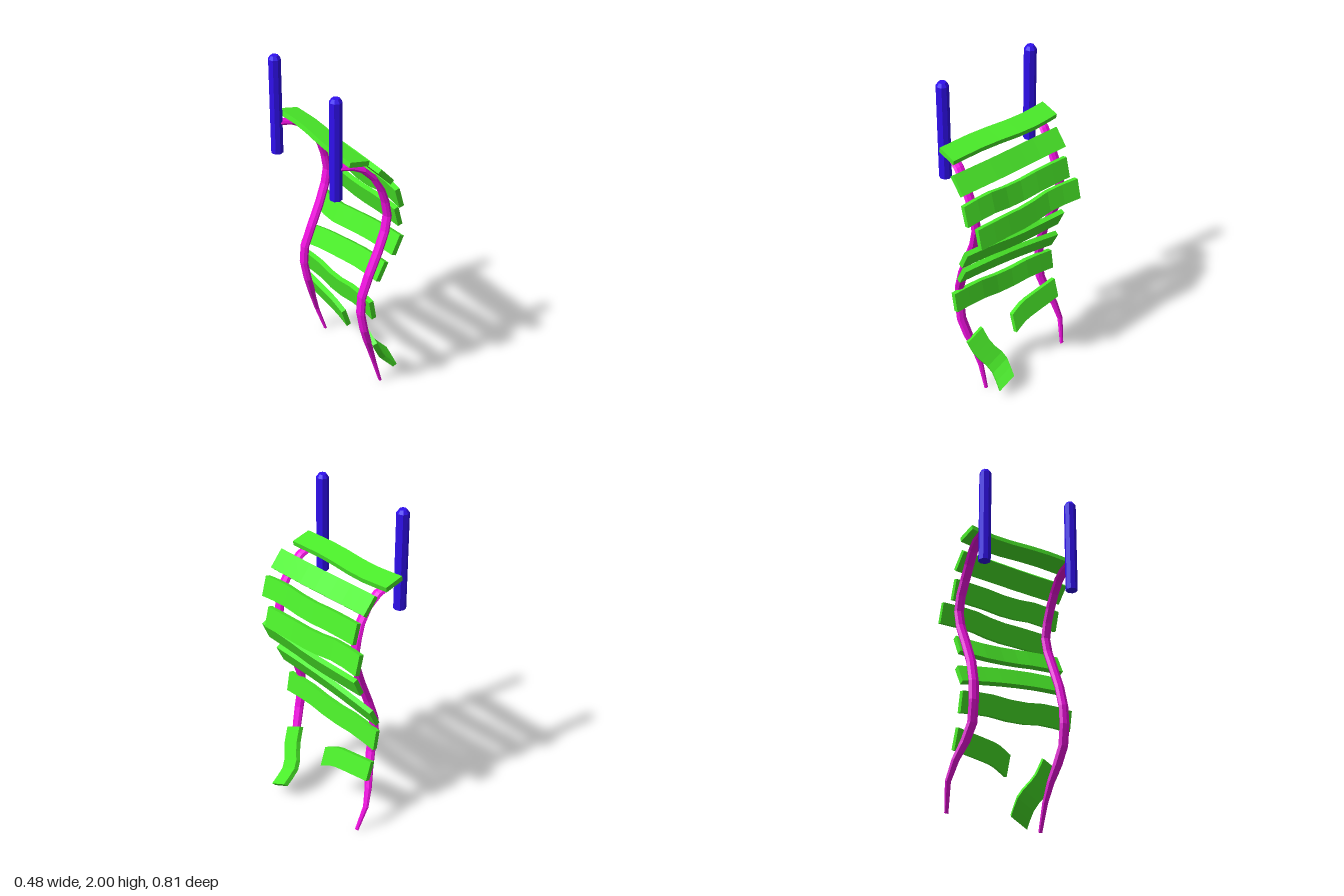
import * as THREE from 'three';

const mat = (color) => new THREE.MeshStandardMaterial({ color, flatShading: true });
const V = (p) => new THREE.Vector3(...p);

// Sweeps a ring (unit offsets along width and normal) along a curve and caps both ends.
function loft(points, widthDir, ring, steps, sizeAt) {
  const curve = new THREE.CatmullRomCurve3(points.map(V));
  const w = V(widthDir).normalize();
  const n = ring.length, pos = [], idx = [];
  for (let s = 0; s <= steps; s++) {
    const u = s / steps, c = curve.getPoint(u);
    const normal = curve.getTangent(u).cross(w).normalize();
    const [hw, hn] = sizeAt(u);
    for (const [a, b] of ring) {
      const p = c.clone().addScaledVector(w, a * hw).addScaledVector(normal, b * hn);
      pos.push(p.x, p.y, p.z);
    }
  }
  for (let s = 0; s < steps; s++) {
    for (let i = 0; i < n; i++) {
      const a = s * n + i, b = s * n + (i + 1) % n;
      idx.push(a, b, b + n, a, b + n, a + n);
    }
  }
  const last = steps * n;
  for (let i = 1; i < n - 1; i++) idx.push(0, i + 1, i, last, last + i, last + i + 1);
  const geo = new THREE.BufferGeometry();
  geo.setAttribute('position', new THREE.Float32BufferAttribute(pos, 3));
  geo.setIndex(idx);
  const flat = geo.toNonIndexed();
  flat.computeVertexNormals();
  return flat;
}

const SQUARE = [[1, 1], [-1, 1], [-1, -1], [1, -1]];
const OCTAGON = Array.from({ length: 8 }, (_, i) => {
  const a = (i / 8) * Math.PI * 2;
  return [Math.cos(a), Math.sin(a)];
});

export function createModel() {
  const model = new THREE.Group();
  model.name = 'brokenRopeBridge';
  const wood = mat(0x4bee2a), rope = mat(0xf010e0), blue = mat(0x3010f0);
  const add = (name, geo, material) => {
    const mesh = new THREE.Mesh(geo, material);
    mesh.name = name;
    model.add(mesh);
    return mesh;
  };

  // Posts with a bevelled top
  const postProfile = [[0, 1.4], [0.036, 1.4], [0.036, 1.98], [0.022, 2], [0, 2]]
    .map((p) => new THREE.Vector2(...p));
  for (const [name, z] of [['frontPost', 0.272], ['backPost', -0.345]]) {
    add(name, new THREE.LatheGeometry(postProfile, 8), blue).position.set(-0.212, 0, z);
  }

  // Hanging ropes: shared side profile, own drift in z, thinner at the loose end
  const ropeXY = [[-0.2, 1.59], [-0.11, 1.57], [-0.03, 1.52], [0.04, 1.42], [0.08, 1.32], [0.1, 1.2],
    [0.07, 1.08], [0, 0.91], [-0.06, 0.74], [-0.07, 0.6], [-0.04, 0.45], [0.005, 0.33], [0.05, 0.2], [0.108, 0.005]];
  const ropeZ = {
    frontRope: [0.275, 0.285, 0.3, 0.31, 0.31, 0.31, 0.315, 0.318, 0.31, 0.31, 0.312, 0.285, 0.265, 0.262],
    backRope: [-0.343, -0.335, -0.315, -0.305, -0.31, -0.31, -0.305, -0.295, -0.307, -0.31, -0.307, -0.345, -0.382, -0.358],
  };
  for (const [name, zs] of Object.entries(ropeZ)) {
    const pts = ropeXY.map(([x, y], i) => [x, y, zs[i]]);
    add(name, loft(pts, [0, 0, 1], OCTAGON, 16, (u) => {
      const k = Math.min(1, 0.4 + (1 - u) * 3);
      return [0.032 * k, (0.016 + 0.007 * Math.min(1, u * 2)) * k];
    }), rope);
  }

  // Warped planks: centre line from front to back, then the direction across the plank
  const planks = [
    [[[-0.108, 1.612, 0.34], [-0.112, 1.612, 0.1], [-0.09, 1.609, -0.2], [-0.105, 1.612, -0.4]], [-0.13, 0.028, 0]],
    [[[0.034, 1.512, 0.385], [0.036, 1.51, 0.1], [0.03, 1.508, -0.15], [0.032, 1.51, -0.36]], [-0.085, 0.095, 0]],
    [[[0.115, 1.362, 0.4], [0.117, 1.375, 0.24], [0.108, 1.35, 0.05], [0.112, 1.362, -0.14], [0.115, 1.363, -0.34]], [-0.035, 0.125, 0]],
    [[[0.154, 1.2, 0.34], [0.15, 1.198, 0.15], [0.142, 1.19, -0.03], [0.131, 1.204, -0.21], [0.15, 1.207, -0.4]], [-0.032, 0.125, 0]],
    [[[0.105, 1.065, 0.41], [0.1, 1.045, 0.2], [0.095, 1.02, 0.04], [0.075, 0.993, -0.18], [0.082, 0.997, -0.33]], [0.055, 0.12, 0]],
    [[[0.032, 0.89, 0.37], [0.028, 0.875, 0.18], [0.015, 0.842, -0.03], [0.005, 0.805, -0.22], [-0.008, 0.767, -0.37]], [0.06, 0.12, 0]],
    [[[-0.032, 0.652, 0.375], [-0.032, 0.652, 0.2], [-0.035, 0.62, 0], [-0.03, 0.622, -0.2], [-0.028, 0.6, -0.37]], [-0.022, 0.125, 0]],
    // snapped stubs
    [[[0.042, 0.325, -0.01], [0.03, 0.365, -0.1], [0.025, 0.38, -0.2], [0.018, 0.4, -0.37]], [-0.04, 0.125, 0]],
    [[[0.02, 0.382, 0.275], [0.07, 0.285, 0.25], [0.135, 0.185, 0.19], [0.225, 0.085, 0.198]], [0, -0.028, 0.055]],
  ];
  planks.forEach(([pts, across], i) => {
    const name = i < 7 ? `plank${i + 1}` : ['brokenPlankBack', 'brokenPlankFront'][i - 7];
    add(name, loft(pts, across, SQUARE, 7, () => [0.062, 0.015]), wood);
  });

  return model;
}
